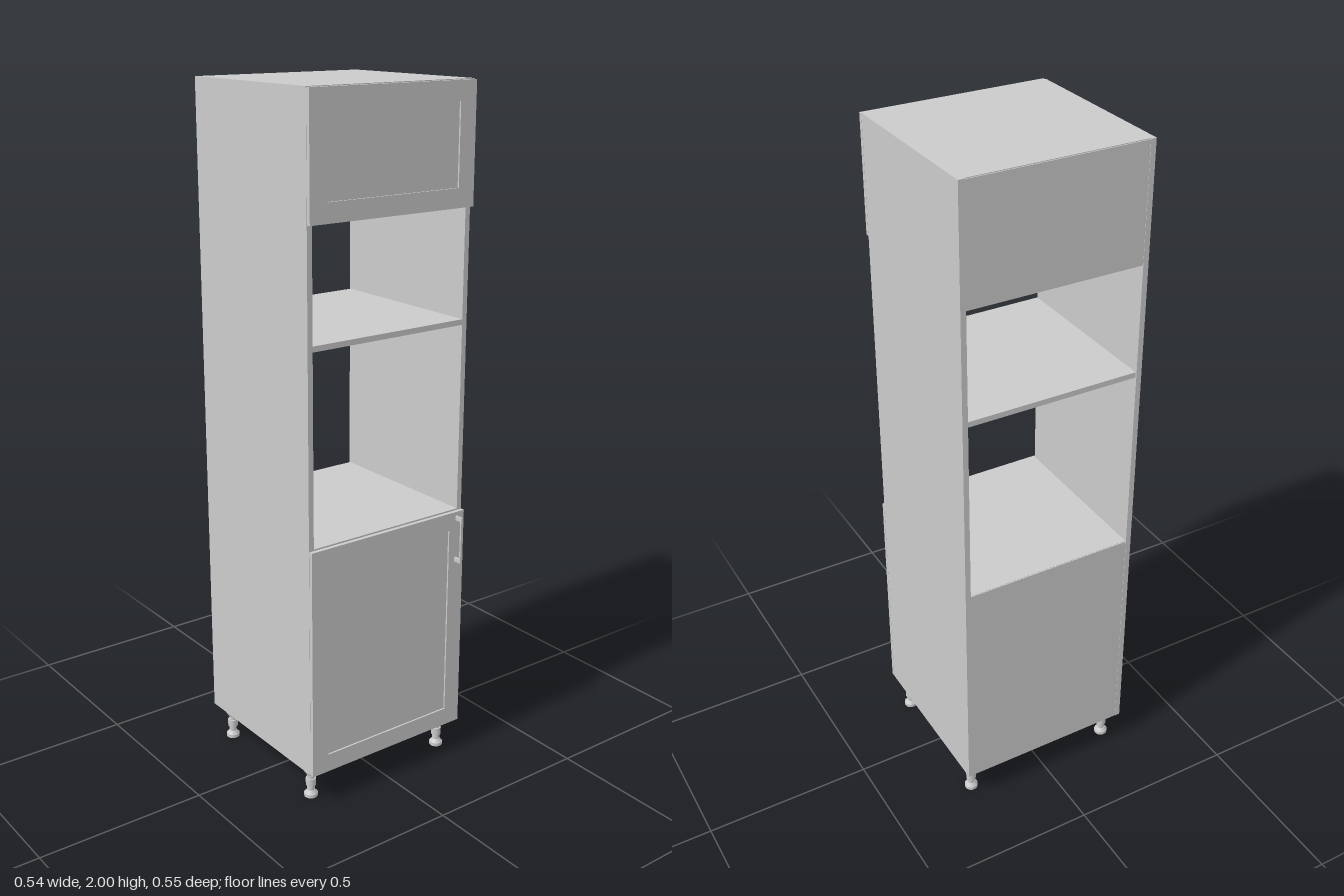
import * as THREE from 'three';

const grey = new THREE.MeshStandardMaterial({ color: 0xcccccc });
const W = 0.272, BACK = -0.276, FRONT = 0.238, DOOR = 0.251, T = 0.016;

// Box given by its minimum and maximum corners
function slab(name, x0, x1, y0, y1, z0, z1) {
  const mesh = new THREE.Mesh(new THREE.BoxGeometry(x1 - x0, y1 - y0, z1 - z0), grey);
  mesh.position.set((x0 + x1) / 2, (y0 + y1) / 2, (z0 + z1) / 2);
  mesh.name = name;
  return mesh;
}

function rectangle(PathType, x0, x1, y0, y1) {
  return new PathType([[x0, y0], [x1, y0], [x1, y1], [x0, y1]].map(p => new THREE.Vector2(...p)));
}

// Framed door with a recessed centre panel
function makeDoor(name, y0, y1) {
  const door = new THREE.Group();
  door.name = name;
  const rail = 0.054, recess = 0.005;
  const shape = rectangle(THREE.Shape, -W, W, y0, y1);
  shape.holes.push(rectangle(THREE.Path, -W + rail, W - rail, y0 + rail, y1 - rail));
  const depth = DOOR - FRONT - 0.001;
  const frame = new THREE.Mesh(new THREE.ExtrudeGeometry(shape, { depth, bevelEnabled: false }), grey);
  frame.position.z = DOOR - depth;
  frame.name = 'doorFrame';
  door.add(frame, slab('doorPanel', -W + rail, W - rail, y0 + rail, y1 - rail, DOOR - depth, DOOR - recess));
  return door;
}

// Adjustable foot: mounting collar, stem, locking ring and round base
function makeLeg(x, z) {
  const leg = new THREE.Group();
  leg.name = 'leg';
  const sections = [
    ['mountingCollar', 0.02, 0.02, 0.082, 0.1],
    ['upperCone', 0.017, 0.013, 0.07, 0.082],
    ['stem', 0.011, 0.011, 0.012, 0.07],
    ['lockingRing', 0.015, 0.015, 0.036, 0.058],
    ['footCone', 0.012, 0.019, 0.01, 0.02],
    ['footPad', 0.02, 0.02, 0, 0.01],
  ];
  for (const [name, top, bottom, y0, y1] of sections) {
    const mesh = new THREE.Mesh(new THREE.CylinderGeometry(top, bottom, y1 - y0, 20), grey);
    mesh.position.y = (y0 + y1) / 2;
    mesh.name = name;
    leg.add(mesh);
  }
  leg.position.set(x, 0, z);
  return leg;
}

// Bow handle: slim grip on two feet
function makeHandle() {
  const handle = new THREE.Group();
  handle.name = 'handle';
  const x0 = 0.24, x1 = 0.246;
  handle.add(slab('grip', x0, x1, 0.632, 0.774, 0.272, 0.277));
  for (const [y0, y1] of [[0.632, 0.645], [0.761, 0.774]]) {
    handle.add(slab('handleFoot', x0, x1, y0, y1, DOOR, 0.272));
  }
  return handle;
}

export function createModel() {
  const model = new THREE.Group();
  model.name = 'ovenCabinet';
  const inner = W - T, backFace = BACK + 0.004;

  // Carcass sides
  model.add(slab('rightSide', -W, -inner, 0.1, 2, BACK, FRONT));
  model.add(slab('leftSide', inner, W, 0.1, 2, BACK, FRONT));

  // Horizontal boards
  const boards = [
    ['bottomBoard', 0.1], ['lowerShelf', 0.774], ['middleShelf', 1.336],
    ['upperShelf', 1.666], ['topBoard', 2 - T],
  ];
  for (const [name, y] of boards) {
    model.add(slab(name, -inner, inner, y, y + T, backFace, FRONT));
  }

  // Back panels behind the closed compartments
  model.add(slab('lowerBack', -inner, inner, 0.1, 0.789, BACK + 0.001, backFace));
  model.add(slab('upperBack', -inner, inner, 1.666, 1.998, BACK + 0.001, backFace));

  // Doors and handle
  model.add(makeDoor('lowerDoor', 0.1, 0.786), makeDoor('upperDoor', 1.664, 1.998), makeHandle());

  // Four feet
  for (const x of [-0.238, 0.238]) {
    for (const z of [0.192, -0.225]) model.add(makeLeg(x, z));
  }
  return model;
}
